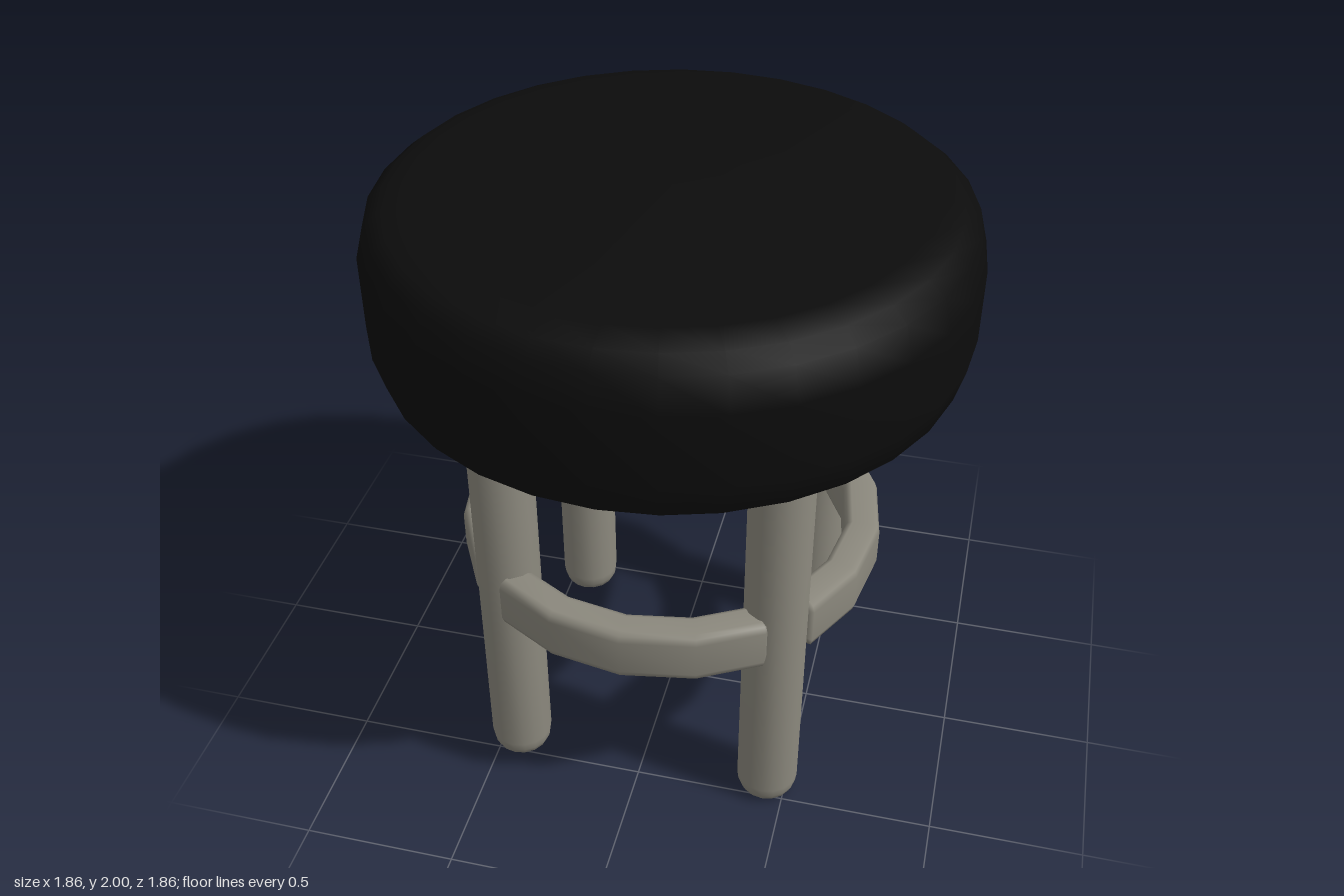
import * as THREE from 'three';

const black = new THREE.MeshStandardMaterial({ name: 'black cushion', color: 0x0c0c0c });
const grey = new THREE.MeshStandardMaterial({ name: 'warm grey frame', color: 0x8b887d });

const lathe = (pts, segments) =>
  new THREE.LatheGeometry(pts.map(([x, y]) => new THREE.Vector2(x, y)), segments);

// Curved bar: a rounded section swept around y, with softened closed ends
function arcBar(radius, y, halfW, halfH, halfAngle, segments) {
  const bx = 0.025, by = 0.03, m = 0.008;
  const corner = [
    [halfW, halfH - by], [halfW - m, halfH - m], [halfW - bx, halfH],
  ];
  const mirror = (sx, sy) => corner.map(([a, b]) => [a * sx, b * sy]);
  const section = [
    ...mirror(1, -1).reverse(), ...mirror(1, 1),
    ...mirror(-1, 1).reverse(), ...mirror(-1, -1),
  ];
  const n = section.length;
  const rings = [[-halfAngle, 0.018], [-halfAngle + 0.025, 0]];
  for (let i = 1; i < segments; i++) rings.push([-halfAngle + (2 * halfAngle * i) / segments, 0]);
  rings.push([halfAngle - 0.025, 0], [halfAngle, 0.018]);

  const pos = [], index = [];
  const add = (angle, r, h) => pos.push(r * Math.sin(angle), h, r * Math.cos(angle));
  for (const [angle, inset] of rings) {
    for (const [a, b] of section) {
      add(angle, radius + a * (1 - inset / halfW), y + b * (1 - inset / halfH));
    }
  }
  const last = (rings.length - 1) * n;
  for (let i = 0; i < rings.length - 1; i++) {
    for (let j = 0; j < n; j++) {
      const k = (j + 1) % n, a = i * n + j, d = i * n + k;
      index.push(a, a + n, d, a + n, d + n, d);
    }
  }
  // End caps
  const start = pos.length / 3;
  add(-halfAngle, radius, y);
  add(halfAngle, radius, y);
  for (let j = 0; j < n; j++) {
    const k = (j + 1) % n;
    index.push(start, j, k, start + 1, last + k, last + j);
  }
  const geo = new THREE.BufferGeometry();
  geo.setAttribute('position', new THREE.Float32BufferAttribute(pos, 3));
  geo.setIndex(index);
  geo.computeVertexNormals();
  return geo;
}

export function createModel() {
  const stool = new THREE.Group();
  stool.name = 'stool';
  const add = (name, geo, mat) => {
    const mesh = new THREE.Mesh(geo, mat);
    mesh.name = name;
    stool.add(mesh);
    return mesh;
  };

  // Thick round cushion
  add('seat', lathe([
    [0, 1.43], [0.76, 1.435], [0.85, 1.455], [0.9, 1.498], [0.928, 1.6],
    [0.928, 1.835], [0.9, 1.94], [0.85, 1.98], [0.76, 1.997], [0, 2],
  ], 32), black);

  // Four round legs with softened feet
  const legGeo = lathe([
    [0, 0], [0.07, 0], [0.088, 0.012], [0.098, 0.035], [0.102, 0.065],
    [0.102, 1.46], [0, 1.46],
  ], 16);
  for (const [x, z, name] of [
    [1, 1, 'frontLeftLeg'], [-1, 1, 'frontRightLeg'],
    [1, -1, 'backLeftLeg'], [-1, -1, 'backRightLeg'],
  ]) add(name, legGeo, grey).position.set(0.436 * x, 0, 0.436 * z);

  // Foot ring made of four curved bars, one between each pair of legs
  const barGeo = arcBar(0.643, 0.748, 0.058, 0.09, 0.68, 4);
  ['frontFootBar', 'leftFootBar', 'backFootBar', 'rightFootBar'].forEach((name, i) => {
    add(name, barGeo, grey).rotation.y = (i * Math.PI) / 2;
  });

  return stool;
}
